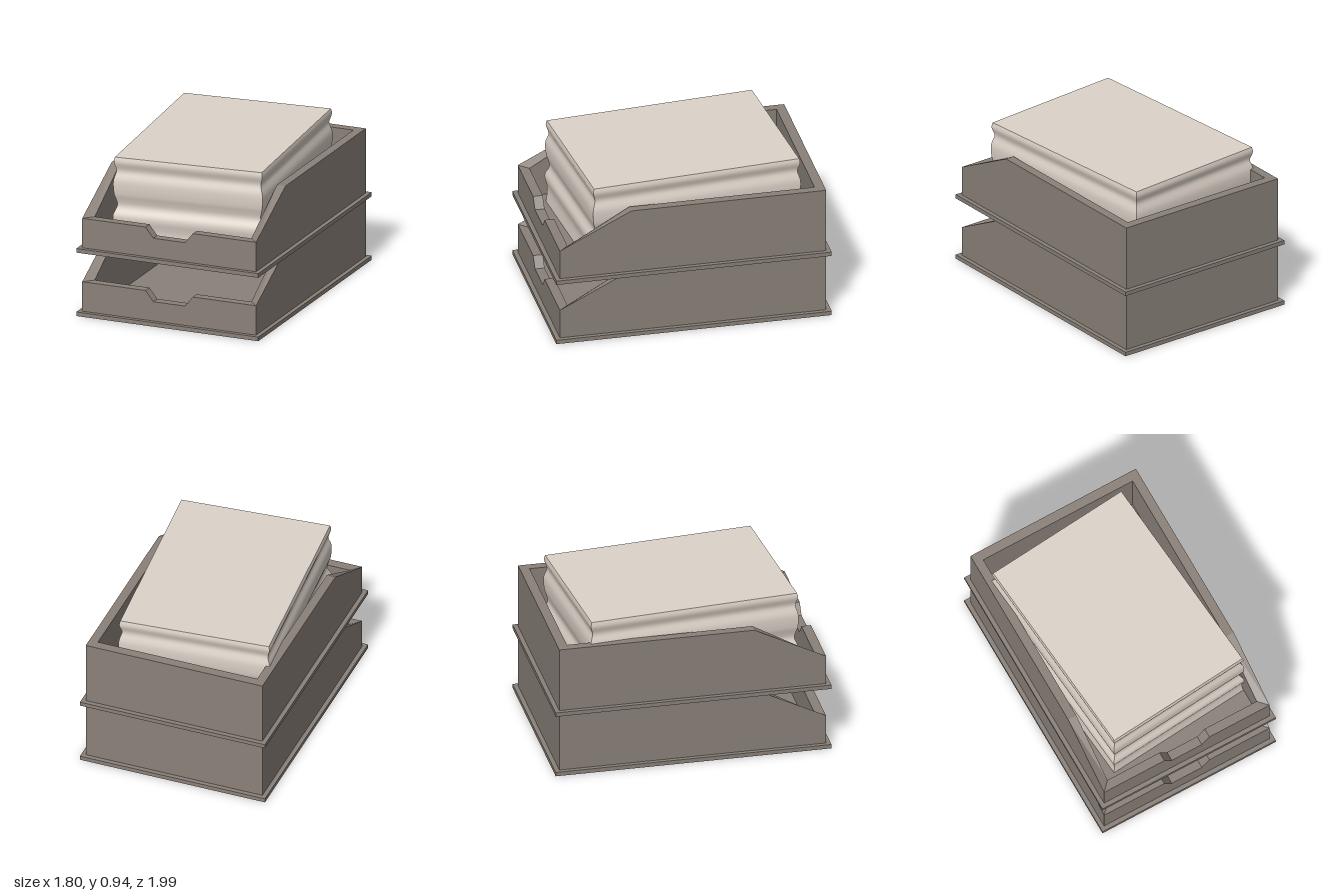
import * as THREE from 'three';

const tray = new THREE.MeshStandardMaterial({ color: 0x8a8179, flatShading: true });
const paper = new THREE.MeshStandardMaterial({ color: 0xddd3c9 });

const PLATE = 0.025, LIP = 0.205, NOTCH = 0.143, WALL = 0.42, PITCH = 0.388;
const OX = 0.551, OZ = 0.793, IX = 0.497, IZ = 0.736; // outer and inner half sizes of the wall
const SLOPE_Z = 0.367;

// Closed mitred wall ring: each station holds outer x,z, inner x,z and height
function wallGeometry() {
  const right = [
    [0.1, OZ, 0.1, IZ, NOTCH],
    [0.15, OZ, 0.15, IZ, LIP],
    [OX, OZ, IX, IZ, LIP],
    [OX, SLOPE_Z, IX, SLOPE_Z, WALL],
    [OX, -OZ, IX, -IZ, WALL],
  ];
  const left = right.map(([a, b, c, d, h]) => [-a, b, -c, d, h]).reverse();
  const ring = [...right, ...left];
  const pos = [];
  const quad = (a, b, c, d) => pos.push(...a, ...b, ...c, ...a, ...c, ...d);
  const outer = (s, y) => [s[0], y, s[1]];
  const inner = (s, y) => [s[2], y, s[3]];
  ring.forEach((s, i) => {
    const t = ring[(i + 1) % ring.length];
    quad(outer(s, PLATE), outer(t, PLATE), outer(t, t[4]), outer(s, s[4]));
    quad(outer(s, s[4]), outer(t, t[4]), inner(t, t[4]), inner(s, s[4]));
    quad(inner(t, PLATE), inner(s, PLATE), inner(s, s[4]), inner(t, t[4]));
  });
  const g = new THREE.BufferGeometry();
  g.setAttribute('position', new THREE.Float32BufferAttribute(pos, 3));
  g.computeVertexNormals();
  return g;
}

function makeTray(name) {
  const group = new THREE.Group();
  group.name = name;
  const plate = new THREE.Mesh(new THREE.BoxGeometry(1.154, PLATE, 1.64), tray);
  plate.name = 'basePlate';
  plate.position.y = PLATE / 2;
  const walls = new THREE.Mesh(wallGeometry(), tray);
  walls.name = 'trayWalls';
  group.add(plate, walls);
  group.rotation.y = 0.506;
  return group;
}

// Paper block whose sides ripple where the sheets are unevenly stacked
function makePaper() {
  const h = 0.532;
  const g = new THREE.BoxGeometry(0.9, h, 1.25, 1, 40, 1);
  const ripple = new THREE.SplineCurve([
    [0.004, 0], [-0.002, 0.09], [0.01, 0.17], [-0.012, 0.24], [0.004, 0.31],
    [0.007, 0.39], [-0.008, 0.45], [0.005, 0.5], [0, h],
  ].map(([x, y]) => new THREE.Vector2(x, y)));
  const samples = ripple.getPoints(160);
  const p = g.attributes.position;
  for (let i = 0; i < p.count; i++) {
    const y = p.getY(i) + h / 2;
    const s = samples.reduce((a, b) => (Math.abs(b.y - y) < Math.abs(a.y - y) ? b : a));
    p.setX(i, p.getX(i) + Math.sign(p.getX(i)) * s.x);
    p.setZ(i, p.getZ(i) + Math.sign(p.getZ(i)) * s.x);
  }
  g.computeVertexNormals();
  const mesh = new THREE.Mesh(g, paper);
  mesh.name = 'paperStack';
  mesh.position.set(-0.013, PITCH + PLATE + h / 2, -0.002);
  mesh.rotation.y = 0.592;
  return mesh;
}

export function createModel() {
  const model = new THREE.Group();
  model.name = 'stackedPaperTrays';
  const lower = makeTray('lowerTray');
  const upper = makeTray('upperTray');
  upper.position.y = PITCH;
  model.add(lower, upper, makePaper());
  return model;
}
